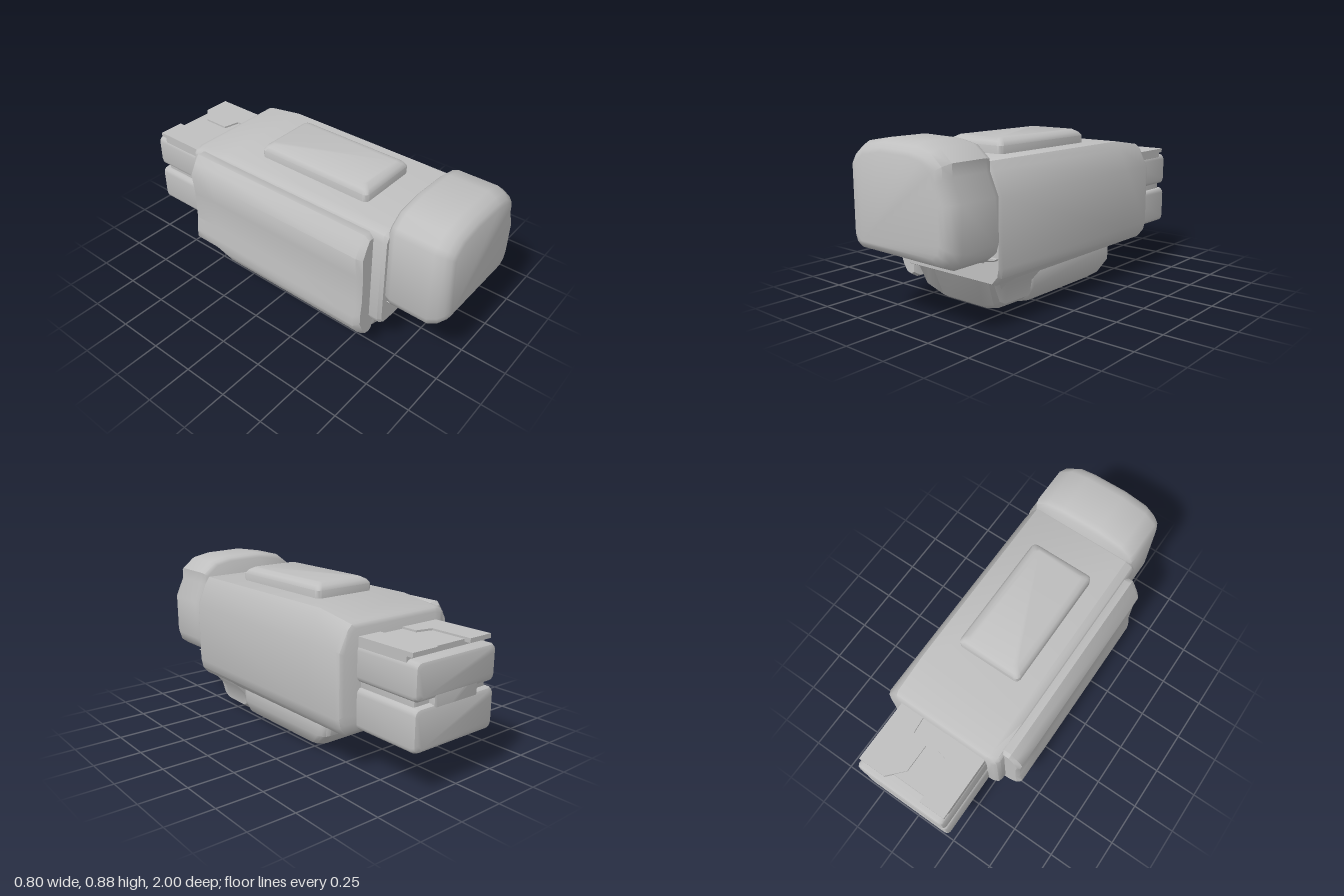
import * as THREE from 'three';
import { toCreasedNormals } from 'three/addons/utils/BufferGeometryUtils.js';

// Cross-sections (arrays of [x, y, z], counter-clockwise seen from +z, z rising) joined to a closed skin
function loft(rings, crease = 0.7) {
  const n = rings[0].length, pos = rings.flat(2), idx = [];
  for (let r = 0; r < rings.length - 1; r++) {
    for (let i = 0; i < n; i++) {
      const a = r * n + i, b = r * n + (i + 1) % n;
      idx.push(a, b, b + n, a, b + n, a + n);
    }
  }
  // end caps
  const last = (rings.length - 1) * n;
  for (let i = 1; i < n - 1; i++) {
    idx.push(0, i + 1, i, last, last + i, last + i + 1);
  }
  const geo = new THREE.BufferGeometry();
  geo.setAttribute('position', new THREE.Float32BufferAttribute(pos, 3));
  geo.setIndex(idx);
  return toCreasedNormals(geo, crease);
}

// Profile placed at depth z, shrunk by inset on every side
function ring(profile, z, inset = 0) {
  const xs = profile.map(p => p[0]), ys = profile.map(p => p[1]);
  const x0 = Math.min(...xs), x1 = Math.max(...xs), y0 = Math.min(...ys), y1 = Math.max(...ys);
  const cx = (x0 + x1) / 2, cy = (y0 + y1) / 2;
  const sx = 1 - 2 * inset / (x1 - x0), sy = 1 - 2 * inset / (y1 - y0);
  return profile.map(([x, y]) => [cx + (x - cx) * sx, cy + (y - cy) * sy, z]);
}

// Rectangle with rounded corners
function roundRect(x0, x1, y0, y1, r, steps = 3) {
  const corners = [[x1 - r, y0 + r, -90], [x1 - r, y1 - r, 0], [x0 + r, y1 - r, 90], [x0 + r, y0 + r, 180]];
  return corners.flatMap(([cx, cy, start]) => Array.from({ length: steps + 1 }, (_, i) => {
    const a = THREE.MathUtils.degToRad(start + 90 * i / steps);
    return [cx + r * Math.cos(a), cy + r * Math.sin(a)];
  }));
}

// Rounded block between two depths, with softened ends
function block(profile, z0, z1, r) {
  return loft([
    ring(profile, z0, r), ring(profile, z0 + r * 0.3, r * 0.3), ring(profile, z0 + r),
    ring(profile, z1 - r), ring(profile, z1 - r * 0.3, r * 0.3), ring(profile, z1, r),
  ]);
}

export function createModel() {
  const group = new THREE.Group();
  const grey = new THREE.MeshStandardMaterial({ color: 0xbfbfbf });
  grey.name = 'plain grey';
  const add = (name, geo) => {
    const mesh = new THREE.Mesh(geo, grey);
    mesh.name = name;
    group.add(mesh);
  };

  // Main housing: chamfered on its left side, top dips toward the back
  const body = [
    [-0.24, 0.2], [0.35, 0.2], [0.385, 0.24], [0.395, 0.29], [0.395, 0.62], [0.345, 0.74],
    [0.32, 0.78], [-0.25, 0.78], [-0.29, 0.76], [-0.305, 0.73], [-0.305, 0.24], [-0.285, 0.205],
  ];
  const dipped = body.map(([x, y]) => [x, y > 0.7 ? y - (y - 0.7) * 0.4 : y]);
  add('body', loft([
    ring(dipped, -0.62, 0.025), ring(dipped, -0.608, 0.007), ring(dipped, -0.585),
    ring(body, -0.38), ring(body, 0.66), ring(body, 0.68, 0.01),
  ]));

  // Front head block
  const head = [
    [-0.24, 0.335], [0.34, 0.33], [0.38, 0.36], [0.395, 0.41], [0.395, 0.63], [0.345, 0.74],
    [0.343, 0.8], [0.27, 0.86], [0.17, 0.88], [-0.05, 0.885], [-0.2, 0.86], [-0.265, 0.81],
    [-0.285, 0.78], [-0.285, 0.39], [-0.27, 0.35],
  ];
  add('head', loft([
    ring(head, 0.665, 0.025), ring(head, 0.68, 0.008), ring(head, 0.71), ring(head, 0.92),
    ring(head, 0.965, 0.018), ring(head, 0.99, 0.04), ring(head, 1, 0.06),
  ], 0.8));

  // Chin below the head, its floor sloping up to the front
  const chin = [
    [-0.1, 0.01], [0.17, 0.01], [0.25, 0.03], [0.29, 0.06], [0.3, 0.13], [0.35, 0.19], [0.375, 0.25],
    [0.385, 0.34], [-0.26, 0.34], [-0.25, 0.2], [-0.24, 0.1], [-0.22, 0.05],
  ];
  const raised = floor => chin.map(([x, y]) => [x, floor + (y - 0.01) * (0.34 - floor) / 0.33]);
  add('chin', loft([
    ring(raised(0.03), 0.34), ring(raised(0.012), 0.37), ring(raised(0.015), 0.53),
    ring(raised(0.04), 0.57), ring(raised(0.29), 0.675), ring(raised(0.315), 0.7),
  ]));

  // Belly pad: profile in x and -z, lofted upward, with its back end sloping
  const bellyRing = (y, back, d) =>
    ring(roundRect(-0.23 + d, 0.3 - d, -0.37 + d * 0.5, back, 0.05), y);
  add('bellyPad', loft([
    bellyRing(0, 0.2, 0.09), bellyRing(0.012, 0.27, 0.055), bellyRing(0.035, 0.32, 0.025),
    bellyRing(0.1, 0.38, 0), bellyRing(0.17, 0.385, 0), bellyRing(0.22, 0.37, 0.01),
  ]).rotateX(-Math.PI / 2));

  // Raised pad on top
  const pad = roundRect(-0.16, 0.205, -0.46, 0.225, 0.025);
  add('topPad', loft([
    ring(pad, 0.76), ring(pad, 0.82), ring(pad, 0.84, 0.014), ring(pad, 0.855, 0.04),
  ]).rotateX(-Math.PI / 2));

  // Side panel on the right flank
  const panel = [
    [-0.33, 0.11], [-0.29, 0.102], [-0.26, 0.115], [-0.255, 0.2], [-0.28, 0.74], [-0.295, 0.75],
    [-0.335, 0.75], [-0.365, 0.71], [-0.4, 0.65], [-0.388, 0.53], [-0.388, 0.36], [-0.4, 0.28],
    [-0.4, 0.215], [-0.365, 0.15],
  ];
  const lifted = panel.map(([x, y]) => [x, y < 0.25 ? y + (0.25 - y) * 0.35 : y]);
  add('sidePanel', loft([
    ring(lifted, -0.555, 0.02), ring(lifted, -0.535), ring(lifted, -0.38),
    ring(panel, -0.3), ring(panel, 0.58), ring(panel, 0.61, 0.02),
  ]));

  // Rear plug: two jaws around a core with a stepped tongue
  add('lowerJaw', block(roundRect(-0.24, 0.29, 0.22, 0.432, 0.03), -1, -0.58, 0.02));
  add('upperJaw', block(roundRect(-0.24, 0.29, 0.46, 0.645, 0.03), -1, -0.58, 0.02));
  add('plugCore', block(roundRect(-0.21, 0.265, 0.35, 0.55, 0.02), -0.965, -0.58, 0.01));
  add('tongue', block(roundRect(-0.12, 0.17, 0.34, 0.54, 0.02), -0.998, -0.9, 0.01));

  // Plates on the plug, outlined in x and -z and raised upward
  const plate = (name, outline, y, height) => {
    const shape = new THREE.Shape(outline.map(p => new THREE.Vector2(...p)));
    const geo = new THREE.ExtrudeGeometry(shape, { depth: height, bevelEnabled: false });
    add(name, geo.rotateX(-Math.PI / 2).translate(0, y, 0));
  };
  plate('plugCap', [[-0.235, 0.6], [0.285, 0.6], [0.285, 0.93], [-0.235, 0.93]], 0.625, 0.048);
  plate('capPlateRight', [
    [-0.235, 0.6], [0, 0.6], [0, 0.71], [-0.09, 0.73], [-0.09, 0.965], [-0.235, 0.965],
  ], 0.66, 0.023);
  plate('capPlateLeft', [
    [0.15, 0.6], [0.285, 0.6], [0.285, 0.965], [0.13, 0.965], [0.05, 0.88], [0.05, 0.73], [0.14, 0.71],
  ], 0.66, 0.023);

  return group;
}
